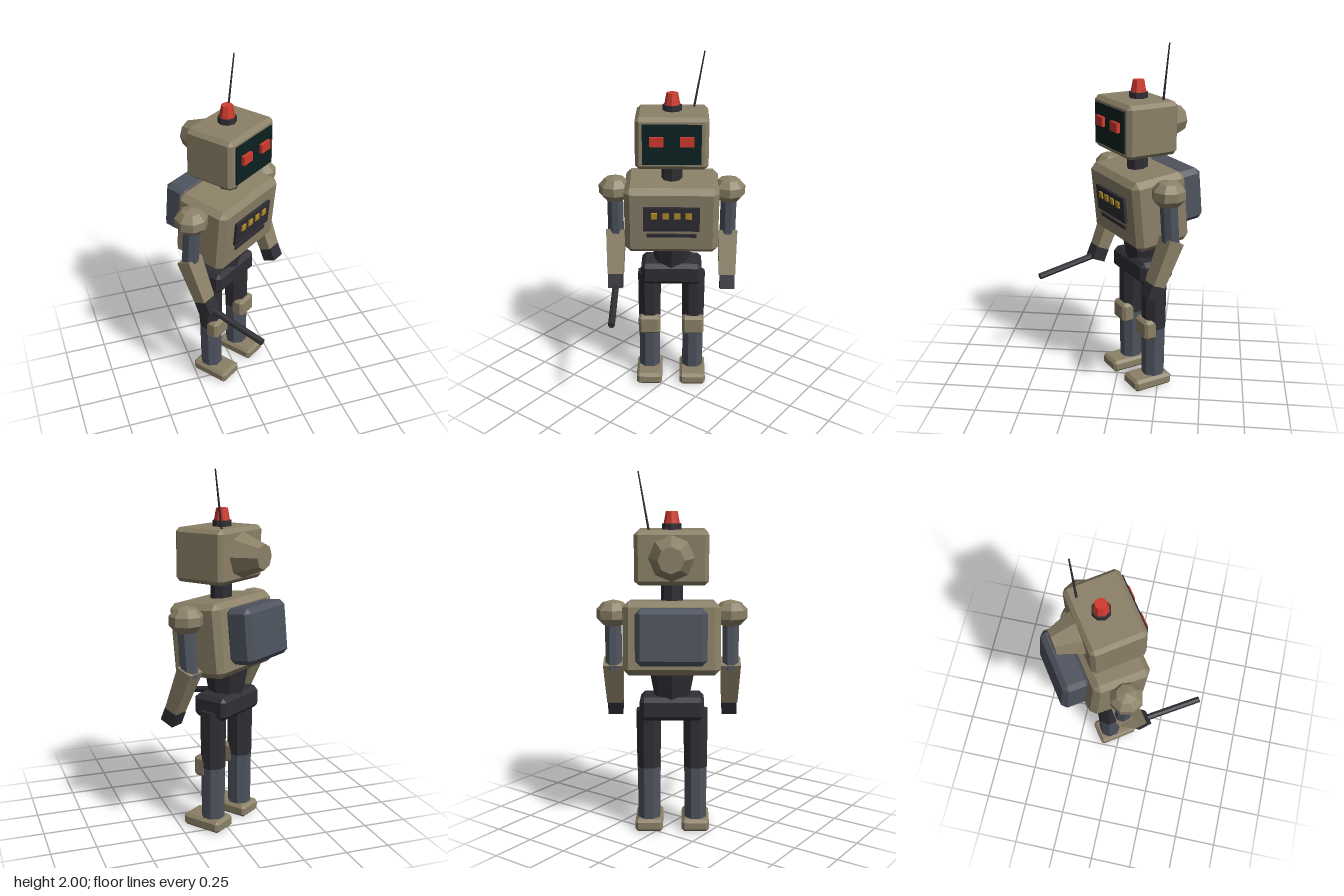
import * as THREE from 'three';
import { ConvexGeometry } from 'three/addons/geometries/ConvexGeometry.js';

const paint = (name, color) => {
  const m = new THREE.MeshStandardMaterial({ color });
  m.name = name;
  return m;
};

// Faceted normals
function flat(geo) {
  const g = geo.index ? geo.toNonIndexed() : geo;
  g.computeVertexNormals();
  return g;
}

// Box with every edge cut at 45 degrees
function chamferBox(w, h, d, c) {
  const pts = [];
  const x = w / 2, y = h / 2, z = d / 2;
  for (const i of [-1, 1]) for (const j of [-1, 1]) for (const k of [-1, 1]) {
    pts.push(
      new THREE.Vector3(i * x, j * (y - c), k * (z - c)),
      new THREE.Vector3(i * (x - c), j * y, k * (z - c)),
      new THREE.Vector3(i * (x - c), j * (y - c), k * z));
  }
  return flat(new ConvexGeometry(pts));
}

const box = (w, h, d) => new THREE.BoxGeometry(w, h, d);
const prism = (rTop, rBottom, h, sides = 8, turn = 0) =>
  flat(new THREE.CylinderGeometry(rTop, rBottom, h, sides, 1, false, turn));

export function createModel() {
  const khaki = paint('khaki', 0x8c8168);
  const dark = paint('charcoal', 0x2f2e34);
  const steel = paint('blueGrey', 0x4d535e);
  const glass = paint('visorGlass', 0x0b2020);
  const red = paint('signalRed', 0xcf3a2d);
  const amber = paint('amber', 0xb8902c);

  const model = new THREE.Group();
  model.name = 'robot';
  const body = new THREE.Group();
  body.name = 'body';
  body.position.set(-0.015, 0, -0.115);
  body.rotation.y = THREE.MathUtils.degToRad(35);
  model.add(body);

  const add = (parent, name, geo, mat, x, y, z, rx = 0, rz = 0) => {
    const m = new THREE.Mesh(geo, mat);
    m.name = name;
    m.position.set(x, y, z);
    m.rotation.set(rx, 0, rz);
    parent.add(m);
    return m;
  };
  // Prism running between two points
  const rod = (name, a, b, r0, r1, sides, mat) => {
    const from = new THREE.Vector3(...a), dir = new THREE.Vector3(...b).sub(from);
    const m = add(body, name, prism(r1, r0, dir.length(), sides), mat, 0, 0, 0);
    m.position.copy(from).addScaledVector(dir, 0.5);
    m.quaternion.setFromUnitVectors(new THREE.Vector3(0, 1, 0), dir.normalize());
  };

  // Head
  const head = new THREE.Group();
  head.name = 'head';
  head.position.set(0, 1.548, 0.02);
  body.add(head);
  add(head, 'headShell', chamferBox(0.4, 0.29, 0.31, 0.022), khaki, 0, 0, 0);
  add(head, 'visor', box(0.32, 0.222, 0.009), glass, 0, 0, 0.159);
  for (const s of [-1, 1]) {
    add(head, 'eye', box(0.078, 0.052, 0.02), red, s * 0.082, 0.02, 0.172);
  }
  add(head, 'rearHousing', prism(0.07, 0.125, 0.14), khaki, 0, 0, -0.222, -Math.PI / 2);
  add(head, 'beaconBase', prism(0.052, 0.052, 0.034), dark, 0, 0.16, -0.018);
  add(head, 'beacon', prism(0.032, 0.044, 0.066), red, 0, 0.209, -0.018);
  rod('antenna', [0.12, 1.685, -0.082], [0.175, 2.0, -0.08], 0.007, 0.004, 6, dark);
  add(body, 'neck', prism(0.06, 0.06, 0.14), dark, 0, 1.35, 0.005);

  // Torso, leaning slightly forward
  const torso = new THREE.Group();
  torso.name = 'torso';
  torso.position.set(0, 1.105, -0.005);
  torso.rotation.x = 0.1;
  body.add(torso);
  add(torso, 'chest', chamferBox(0.53, 0.4, 0.33, 0.032), khaki, 0, 0, 0);
  add(torso, 'backpack', chamferBox(0.38, 0.3, 0.155, 0.027), steel, 0, 0.017, -0.233);
  add(torso, 'controlPanel', box(0.315, 0.145, 0.024), dark, 0, 0.027, 0.169);
  for (let i = 0; i < 4; i++) {
    add(torso, 'panelLight', box(0.035, 0.035, 0.012), amber, (i - 1.5) * 0.064, 0.052, 0.183);
  }
  add(torso, 'ventSlot', box(0.28, 0.02, 0.014), dark, 0, -0.078, 0.167);

  // Waist and hips
  add(body, 'waist', prism(0.125, 0.095, 0.16), dark, 0, 0.84, -0.03);
  add(body, 'pelvis', chamferBox(0.354, 0.13, 0.21, 0.024), dark, 0, 0.72, -0.035);

  for (const s of [-1, 1]) {
    const side = s > 0 ? 'left' : 'right';

    // Arm
    const ax = s * 0.324;
    const shoulder = flat(new THREE.SphereGeometry(0.097, 8, 5));
    add(body, side + 'Shoulder', shoulder, khaki, ax, 1.234, 0).scale.y = 0.8;
    add(body, side + 'UpperArm', prism(0.048, 0.048, 0.27, 8, Math.PI / 8), steel, ax, 1.06, -0.01, 0.08);
    const fore = new THREE.Group();
    fore.name = side + 'Forearm';
    fore.position.set(ax, 0.97, -0.025);
    fore.rotation.x = -0.4;
    body.add(fore);
    const k = Math.SQRT1_2;
    const sleeve = add(fore, 'forearmSleeve',
      prism(0.112 * k, 0.092 * k, 0.26, 4, Math.PI / 4), khaki, 0, -0.13, 0);
    sleeve.scale.z = 0.82;
    add(fore, 'hand', box(0.084, 0.08, 0.084), dark, 0, -0.3, 0);

    // Leg
    const lx = s * 0.131;
    add(body, side + 'Thigh', prism(0.073, 0.07, 0.33, 8, Math.PI / 8), dark, lx, 0.535, -0.035);
    add(body, side + 'Shin', prism(0.068, 0.066, 0.32, 8, Math.PI / 8), steel, lx, 0.215, -0.035);
    add(body, side + 'KneePad', chamferBox(0.13, 0.118, 0.085, 0.016), khaki, lx, 0.372, 0.012);
    add(body, side + 'Foot', chamferBox(0.155, 0.07, 0.242, 0.016), khaki, lx, 0.035, 0);
  }

  // Baton in the right hand
  rod('baton', [-0.322, 0.685, 0.08], [-0.322, 0.613, 0.478], 0.019, 0.019, 8, dark);

  return model;
}
